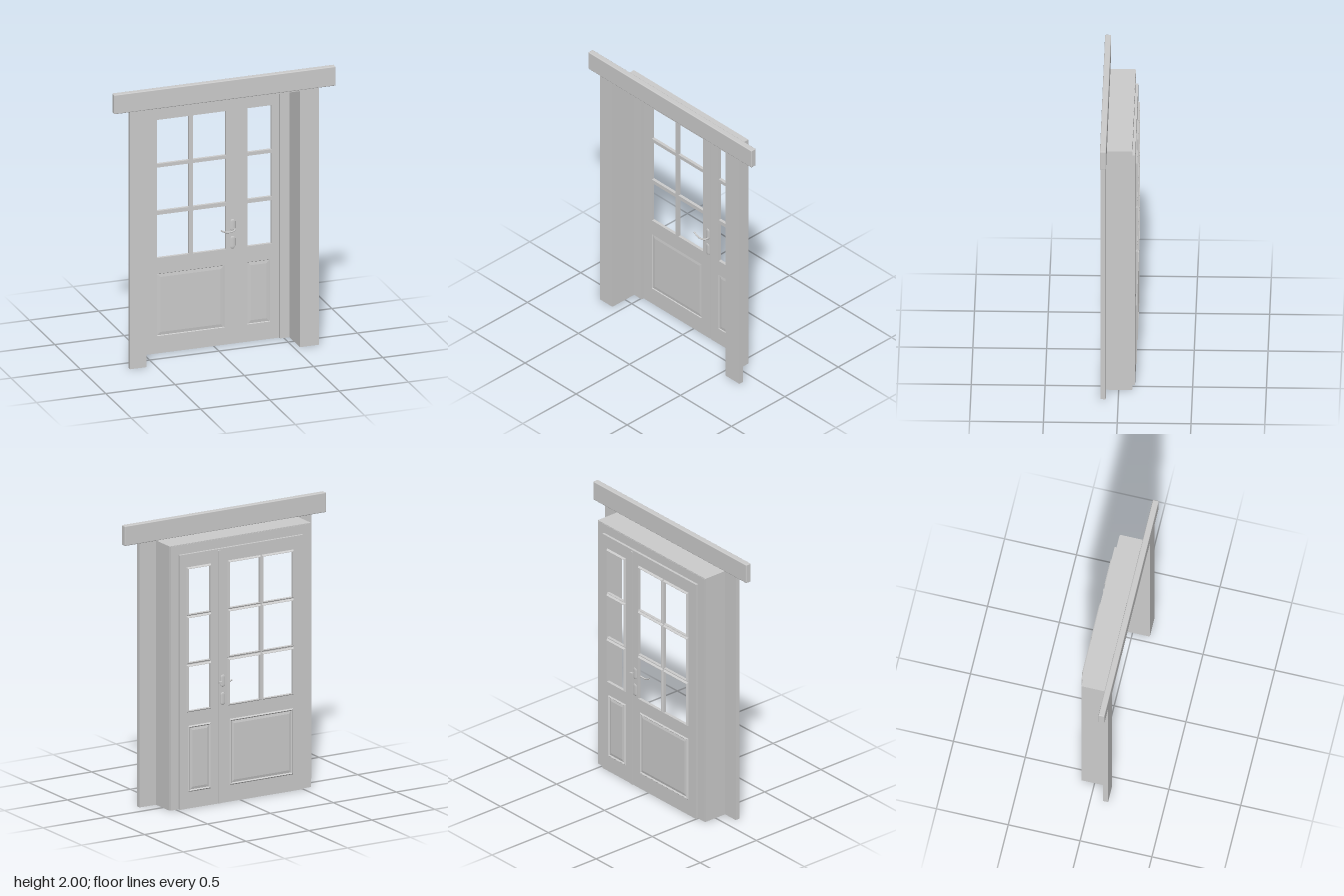
import * as THREE from 'three';
import { RoundedBoxGeometry } from 'three/addons/geometries/RoundedBoxGeometry.js';

const material = new THREE.MeshStandardMaterial({ color: 0xcccccc, side: THREE.DoubleSide });

// Rectangles are [x0, x1, y0, y1]
const grow = ([a, b, c, d], m) => [a - m, b + m, c - m, d + m];

function rectPath([x0, x1, y0, y1], Type = THREE.Shape) {
  const path = new Type();
  path.moveTo(x0, y0);
  path.lineTo(x1, y0);
  path.lineTo(x1, y1);
  path.lineTo(x0, y1);
  path.closePath();
  return path;
}

function add(parent, name, geometry) {
  const mesh = new THREE.Mesh(geometry, material);
  mesh.name = name;
  parent.add(mesh);
  return mesh;
}

function box(parent, name, [x0, x1, y0, y1], z0, z1) {
  const mesh = add(parent, name, new THREE.BoxGeometry(x1 - x0, y1 - y0, z1 - z0));
  mesh.position.set((x0 + x1) / 2, (y0 + y1) / 2, (z0 + z1) / 2);
}

function extrude(parent, name, shape, z0, z1) {
  const geometry = new THREE.ExtrudeGeometry(shape, { depth: z1 - z0, bevelEnabled: false });
  geometry.translate(0, 0, z0);
  add(parent, name, geometry);
}

// Flat plate with rectangular openings
function plate(parent, name, rect, holes, z0, z1) {
  const shape = rectPath(rect);
  holes.forEach((h) => shape.holes.push(rectPath(h, THREE.Path)));
  extrude(parent, name, shape, z0, z1);
}

// Arch of two legs and a head, open at the floor
function portal(parent, name, [x0, x1, top], [i0, i1, iTop], z0, z1) {
  const pts = [[x0, 0], [i0, 0], [i0, iTop], [i1, iTop], [i1, 0], [x1, 0], [x1, top], [x0, top]];
  extrude(parent, name, new THREE.Shape(pts.map((p) => new THREE.Vector2(...p))), z0, z1);
}

// Sloped rectangular band between two rectangles at different depths
function slope(parent, name, a, za, b, zb) {
  const corners = ([x0, x1, y0, y1], z) => [[x0, y0, z], [x1, y0, z], [x1, y1, z], [x0, y1, z]];
  const A = corners(a, za);
  const B = corners(b, zb);
  const pos = [];
  for (let i = 0; i < 4; i++) {
    const j = (i + 1) % 4;
    pos.push(...A[i], ...A[j], ...B[j], ...A[i], ...B[j], ...B[i]);
  }
  const geometry = new THREE.BufferGeometry();
  geometry.setAttribute('position', new THREE.Float32BufferAttribute(pos, 3));
  geometry.computeVertexNormals();
  add(parent, name, geometry);
}

const FRONT = -0.102, BACK = -0.11, BEAD = -0.124;
const ROWS = [[0.69, 1.002], [1.03, 1.345], [1.37, 1.69]];

// One thin leaf: glazed openings above, a moulded panel below
function leaf(name, rect, columns, panel) {
  const group = new THREE.Group();
  group.name = name;
  const panes = columns.flatMap(([x0, x1]) => ROWS.map(([y0, y1]) => [x0, x1, y0, y1]));
  plate(group, 'leafBody', rect, [...panes, panel], BACK, FRONT);

  // Bevelled beads standing proud around every opening on the back
  panes.forEach((p) => {
    slope(group, 'glazingBeadReveal', p, BACK, p, BEAD);
    slope(group, 'glazingBead', p, BEAD, grow(p, 0.003), BEAD);
    slope(group, 'glazingBeadBevel', grow(p, 0.003), BEAD, grow(p, 0.011), BACK);
  });

  // Panel set slightly back, with a shallow raised field
  const field = grow(panel, -0.026);
  slope(group, 'panelFrontStep', panel, FRONT, grow(panel, -0.004), -0.108);
  slope(group, 'panelFrontBevel', grow(panel, -0.004), -0.108, field, -0.105);
  slope(group, 'panelMoulding', grow(panel, 0.008), BACK, panel, -0.119);
  slope(group, 'panelBackGroove', panel, -0.119, grow(panel, -0.008), -0.111);
  slope(group, 'panelBackBevel', grow(panel, -0.008), -0.111, field, -0.115);
  box(group, 'raisedField', field, -0.115, -0.105);
  return group;
}

// Oval rose and keyhole plate
function plates(parent, face) {
  [['rose', 0.86, 0.05], ['keyPlate', 0.735, 0.055]].forEach(([part, y, length]) => {
    const geometry = new THREE.CapsuleGeometry(0.018, length, 6, 12);
    geometry.scale(1, 1, 0.25);
    add(parent, part, geometry).position.set(0.138, y, face);
  });
}

export function createModel() {
  const model = new THREE.Group();
  model.name = 'glazedDoor';

  // Front casing
  box(model, 'leftPost', [0.545, 0.68, 0, 1.865], 0.085, 0.12);
  box(model, 'rightPost', [-0.685, -0.568, 0, 1.865], 0.085, 0.12);
  const header = add(model, 'header', new RoundedBoxGeometry(1.6, 0.14, 0.042, 2, 0.006));
  header.position.set(0, 1.93, 0.101);

  // Deep reveal lining and the thin fixed frame at its back
  portal(model, 'revealLining', [-0.573, 0.55, 1.862], [-0.564, 0.541, 1.853], -0.09, 0.118);
  portal(model, 'doorFrame', [-0.568, 0.545, 1.857], [-0.496, 0.476, 1.79], -0.092, -0.084);
  portal(model, 'frameRebate', [-0.5, 0.48, 1.793], [-0.492, 0.472, 1.786], BACK, -0.084);

  // Wide and narrow leaves
  model.add(leaf('wideLeaf', [-0.498, 0.165, 0, 1.79],
    [[-0.41, -0.177], [-0.15, 0.09]], [-0.41, 0.078, 0.125, 0.575]));
  model.add(leaf('narrowLeaf', [0.172, 0.478, 0, 1.79],
    [[0.245, 0.418]], [0.243, 0.408, 0.125, 0.575]));

  // Strip covering the joint between the leaves
  box(model, 'meetingStrip', [0.16, 0.177, 0, 1.78], -0.116, -0.105);

  // Lever on the front, plates and a small thumb turn on the back
  const handle = new THREE.Group();
  handle.name = 'handle';
  plates(handle, FRONT);
  plates(handle, BACK);
  const lever = new THREE.CatmullRomCurve3([
    [0.145, 0.83, FRONT], [0.143, 0.83, -0.075], [0.12, 0.825, -0.066],
    [0.08, 0.825, -0.066], [0.04, 0.842, -0.068],
  ].map((p) => new THREE.Vector3(...p)));
  add(handle, 'lever', new THREE.TubeGeometry(lever, 20, 0.006, 8));
  box(handle, 'thumbTurn', [0.15, 0.175, 0.845, 0.86], -0.128, BACK);
  model.add(handle);
  return model;
}
